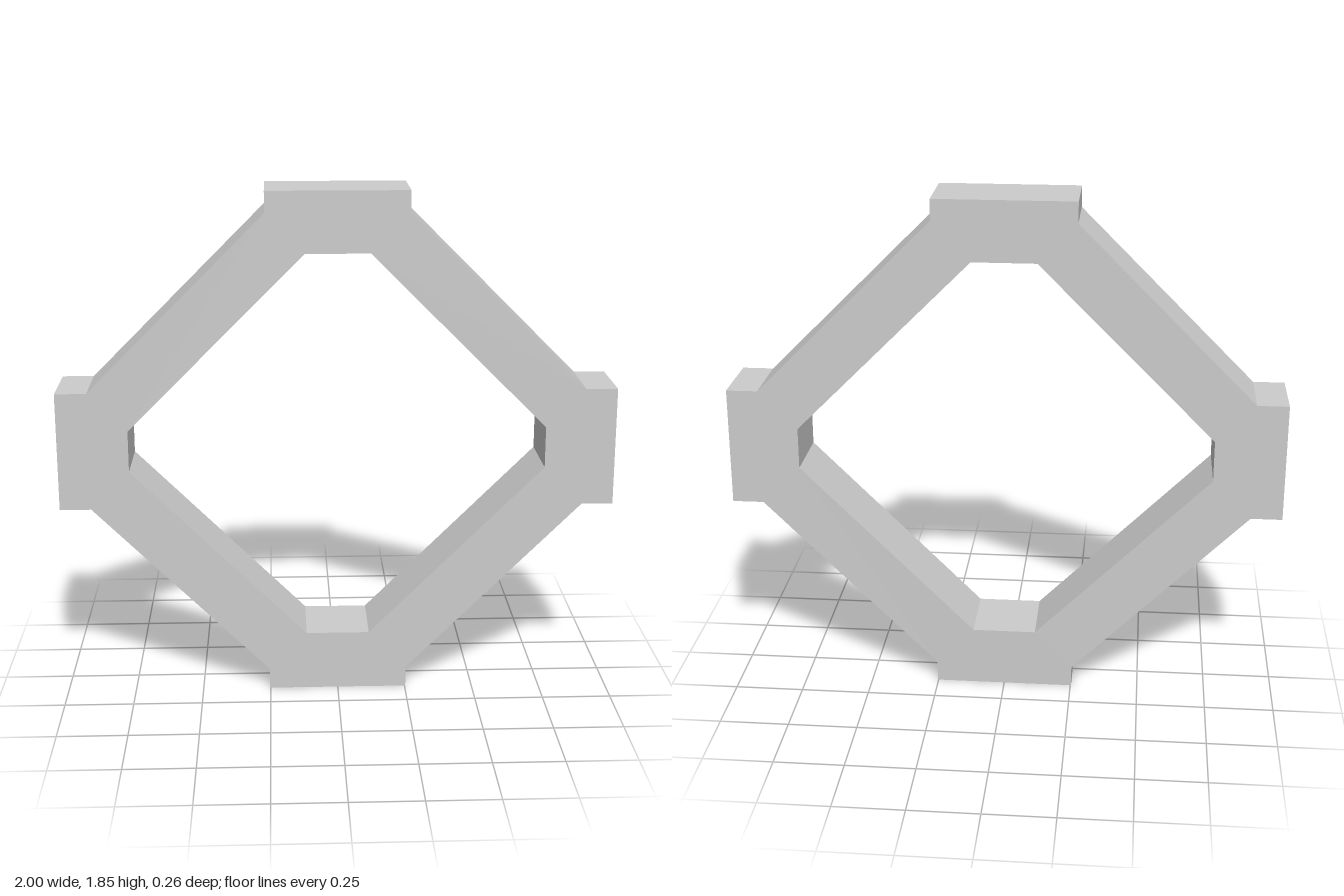
import * as THREE from 'three';

const CENTER_Y = 0.925;
const DEPTH = 0.26;

// Mirrors one quadrant of corners (side to top) into a closed counter-clockwise outline
function mirrorQuadrant(points) {
  const flip = (sx, sy) => points.map(([x, y]) => new THREE.Vector2(x * sx, y * sy));
  return [
    ...flip(1, 1),
    ...flip(-1, 1).reverse(),
    ...flip(-1, -1),
    ...flip(1, -1).reverse(),
  ];
}

export function createModel() {
  const group = new THREE.Group();
  group.name = 'diamondFrame';

  // Outer outline: diagonal bars with a square pad at each of the four corners
  const shape = new THREE.Shape(mirrorQuadrant([
    [1, 0.215], [0.887, 0.215], [0.253, 0.849], [0.253, 0.925],
  ]));

  // Diamond opening with clipped corners
  shape.holes.push(new THREE.Path(mirrorQuadrant([[0.747, 0.075], [0.115, 0.707]])));

  const geometry = new THREE.ExtrudeGeometry(shape, { depth: DEPTH, bevelEnabled: false });
  geometry.translate(0, CENTER_Y, -DEPTH / 2);

  const frame = new THREE.Mesh(
    geometry,
    new THREE.MeshStandardMaterial({ color: 0xcccccc, flatShading: true }),
  );
  frame.name = 'frame';
  group.add(frame);

  return group;
}
